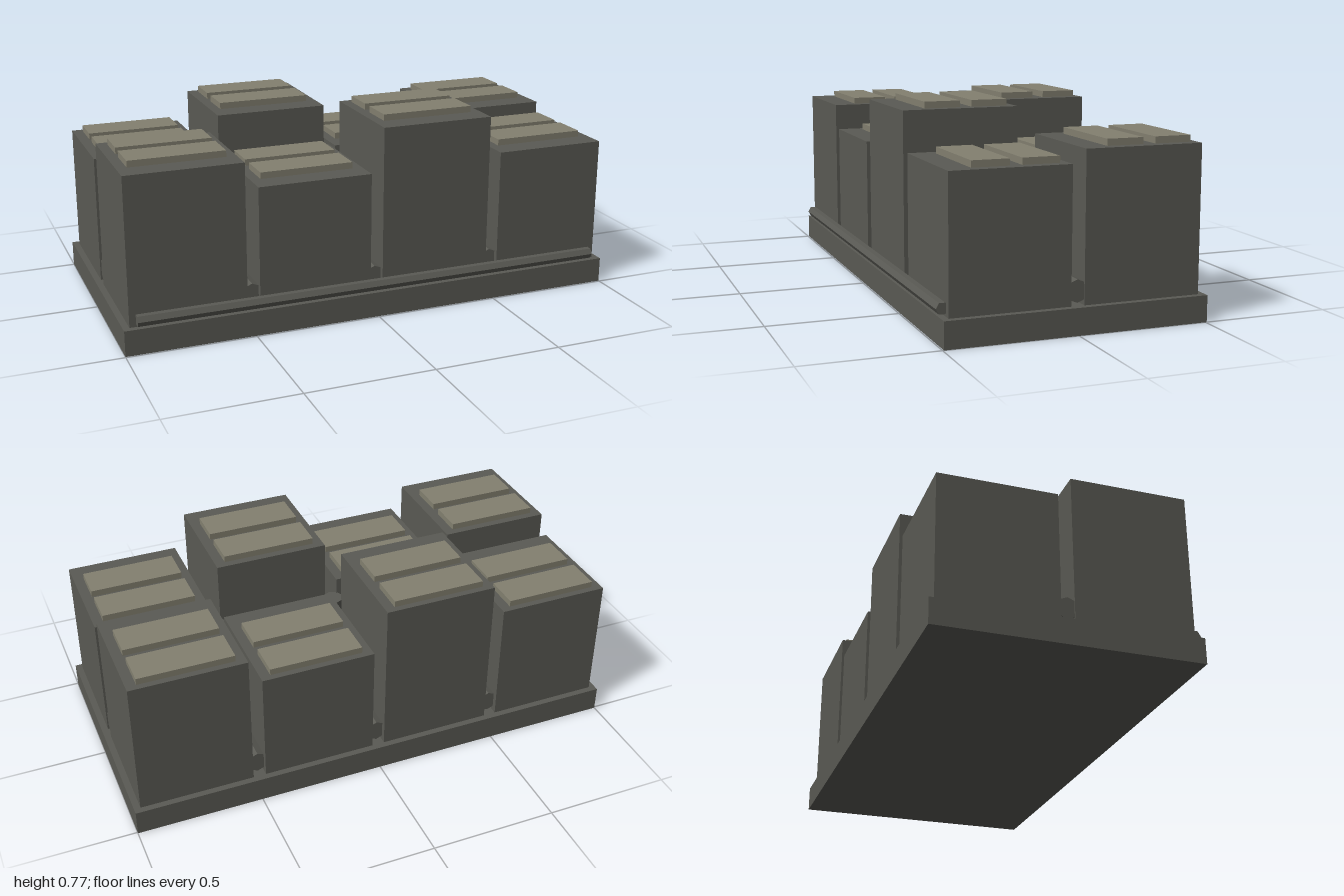
import * as THREE from 'three';

export function createModel() {
  const model = new THREE.Group();
  const concrete = new THREE.MeshStandardMaterial({ color: 0x5a5a54, flatShading: true });
  concrete.name = 'dark concrete grey';
  const roofTan = new THREE.MeshStandardMaterial({ color: 0x838070, flatShading: true });
  roofTan.name = 'roof panel tan';

  const add = (name, geometry, material, x, y, z) => {
    const mesh = new THREE.Mesh(geometry, material);
    mesh.name = name;
    mesh.position.set(x, y, z);
    model.add(mesh);
    return mesh;
  };
  // box standing on height y
  const box = (name, w, h, d, material, x, y, z) =>
    add(name, new THREE.BoxGeometry(w, h, d), material, x, y + h / 2, z);

  // base slab
  box('base', 2, 0.1, 1, concrete, 0, 0, -0.005);

  // two rows of blocks with a pair of roof panels each
  const baseTop = 0.1;
  const rows = [
    { name: 'front', z: 0.245, panels: [0.12, 0.305], tops: [0.675, 0.575, 0.75, 0.6] },
    { name: 'back', z: -0.255, panels: [-0.198, -0.385], tops: [0.6, 0.725, 0.55, 0.65] },
  ];
  for (const row of rows) {
    row.tops.forEach((top, i) => {
      const x = -0.75 + i * 0.5;
      box(row.name + 'Block', 0.45, top - baseTop, 0.45, concrete, x, baseTop, row.z);
      for (const z of row.panels) box(row.name + 'RoofPanel', 0.37, 0.025, 0.14, roofTan, x, top, z);
    });
  }

  // pipes running in the gaps, with an upright column at each crossing
  const pipe = (length, radius) => new THREE.CylinderGeometry(radius, radius, length, 8);
  add('longPipe', pipe(1.94, 0.042), concrete, 0, 0.152, -0.005).rotation.z = Math.PI / 2;
  for (const x of [-0.5, 0, 0.5]) {
    add('crossPipe', pipe(0.91, 0.042), concrete, x, 0.152, -0.005).rotation.x = Math.PI / 2;
    add('column', pipe(0.35, 0.042), concrete, x, 0.335, -0.005);
  }

  // six-sided rail along the front edge, flat on top and bottom
  const railShape = new THREE.CylinderGeometry(0.023, 0.023, 1.9, 6);
  railShape.rotateZ(Math.PI / 2);
  add('frontRail', railShape, concrete, 0, 0.13, 0.484);

  return model;
}
